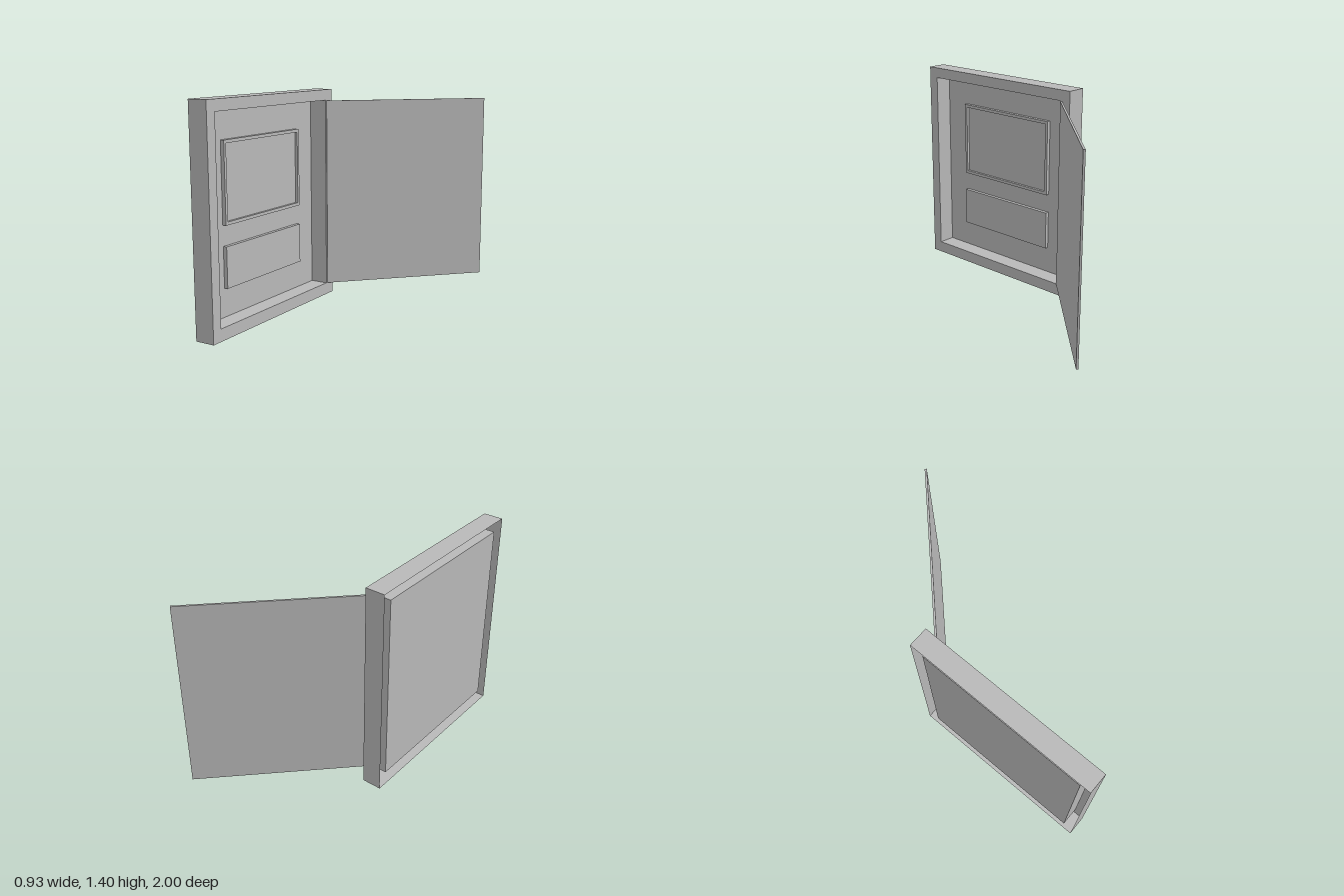
import * as THREE from 'three';

const paintedGrey = new THREE.MeshStandardMaterial({ color: 0xb8b8b8, side: THREE.DoubleSide });
paintedGrey.name = 'paintedGrey';

// Rectangles in the frame's plane: [zMin, zMax, yMin, yMax]
const OUTER = [-0.27, 1, 0, 1.4];
const OPENING = [-0.195, 0.93, 0.078, 1.33];
const UPPER = [-0.017, 0.747, 0.643, 1.15];
const UPPER_INNER = [0.002, 0.728, 0.663, 1.13];
const LOWER = [-0.017, 0.747, 0.258, 0.515];

// Depths along x
const FRONT = -0.335, BACK = -0.465, PANEL = -0.454, RAISED = -0.429, SUNK = -0.447;

function createModelPart(name, geometry, parent) {
  const mesh = new THREE.Mesh(geometry, paintedGrey);
  mesh.name = name;
  parent.add(mesh);
  return mesh;
}

function outline([z0, z1, y0, y1], Type = THREE.Shape) {
  return new Type([[-z1, y0], [-z0, y0], [-z0, y1], [-z1, y1]].map(p => new THREE.Vector2(...p)));
}

// Flat face towards +x, with an optional rectangular hole
function face(rect, x, hole) {
  const shape = outline(rect);
  if (hole) shape.holes.push(outline(hole, THREE.Path));
  return new THREE.ShapeGeometry(shape).rotateY(Math.PI / 2).translate(x, 0, 0);
}

// Four walls around a rectangle, running from x0 to x1, with x0 < x1 facing outwards
function walls([z0, z1, y0, y1], x0, x1) {
  const c = [[y0, z1], [y0, z0], [y1, z0], [y1, z1]];
  const pos = [];
  c.forEach(([ya, za], i) => {
    const [yb, zb] = c[(i + 1) % 4];
    pos.push(x0, ya, za, x0, yb, zb, x1, yb, zb, x0, ya, za, x1, yb, zb, x1, ya, za);
  });
  const g = new THREE.BufferGeometry();
  g.setAttribute('position', new THREE.Float32BufferAttribute(pos, 3));
  g.computeVertexNormals();
  return g;
}

export function createModel() {
  const model = new THREE.Group();
  model.name = 'openCabinet';

  // Outer frame, a thin shell left open at the back
  const frame = new THREE.Group();
  frame.name = 'frame';
  model.add(frame);
  createModelPart('frameSides', walls(OUTER, BACK, FRONT), frame);
  createModelPart('frameRim', face(OUTER, FRONT, OPENING), frame);

  // Recess behind the opening
  createModelPart('recessSides', walls(OPENING, PANEL, FRONT), frame);
  createModelPart('recessBack', face(OPENING, PANEL), frame);

  // Upper raised border with a sunken field
  const upper = new THREE.Group();
  upper.name = 'upperPanel';
  model.add(upper);
  createModelPart('upperPanelSides', walls(UPPER, PANEL, RAISED), upper);
  createModelPart('upperPanelBorder', face(UPPER, RAISED, UPPER_INNER), upper);
  createModelPart('upperPanelInnerSides', walls(UPPER_INNER, SUNK, RAISED), upper);
  createModelPart('upperPanelField', face(UPPER_INNER, SUNK), upper);

  // Lower raised slab
  const lower = new THREE.Group();
  lower.name = 'lowerPanel';
  model.add(lower);
  createModelPart('lowerPanelSides', walls(LOWER, PANEL, RAISED), lower);
  createModelPart('lowerPanelFace', face(LOWER, RAISED), lower);

  // Door standing open at 45 degrees
  const door = createModelPart('door', new THREE.BoxGeometry(1.119, 1.248, 0.013), model);
  door.position.set(0.063, 0.703, -0.6);
  door.rotation.y = Math.PI / 4;

  return model;
}
